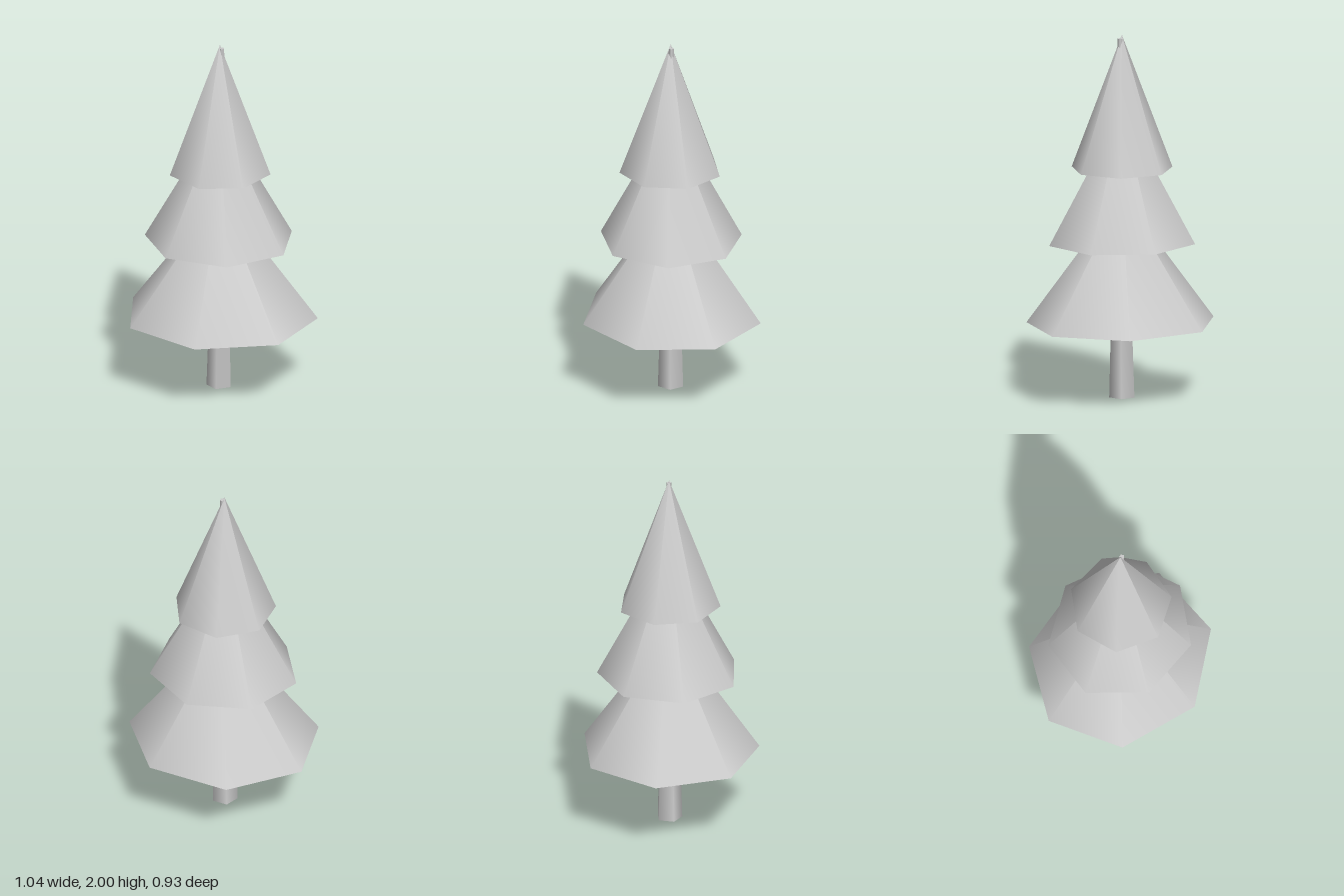
import * as THREE from 'three';

const CENTER_Z = -0.025;

export function createModel() {
  const tree = new THREE.Group();
  tree.name = 'pineTree';
  const paleGrey = new THREE.MeshStandardMaterial({ color: 0xcccccc });
  paleGrey.name = 'paleGrey';

  // Five-sided trunk, tapering and leaning slightly until its tip shows at the top
  const height = 1.98;
  const trunkGeometry = new THREE.CylinderGeometry(0.014, 0.072, height, 5);
  trunkGeometry.translate(0, height / 2, 0);
  const pos = trunkGeometry.attributes.position;
  for (let i = 0; i < pos.count; i++) {
    pos.setX(i, pos.getX(i) - 0.001 + 0.013 * pos.getY(i) / height);
  }
  const trunk = new THREE.Mesh(trunkGeometry, paleGrey);
  trunk.name = 'trunk';
  trunk.position.z = CENTER_Z;
  tree.add(trunk);

  // Seven-sided foliage cones, each turned a little and slightly oval
  const tiers = [
    { name: 'lowerFoliage', y: 0.406, top: 1.12, rx: 0.534, rz: 0.491, turn: 0 },
    { name: 'middleFoliage', y: 0.855, top: 1.59, rx: 0.412, rz: 0.39, turn: 20.8 },
    { name: 'upperFoliage', y: 1.26, top: 2, rx: 0.28, rz: 0.28, turn: -8.2 },
  ];
  for (const { name, y, top, rx, rz, turn } of tiers) {
    const geometry = new THREE.ConeGeometry(1, top - y, 7, 1, false, THREE.MathUtils.degToRad(turn));
    geometry.scale(rx, 1, rz);
    const cone = new THREE.Mesh(geometry, paleGrey);
    cone.name = name;
    cone.position.set(0, (y + top) / 2, CENTER_Z);
    tree.add(cone);
  }
  return tree;
}
